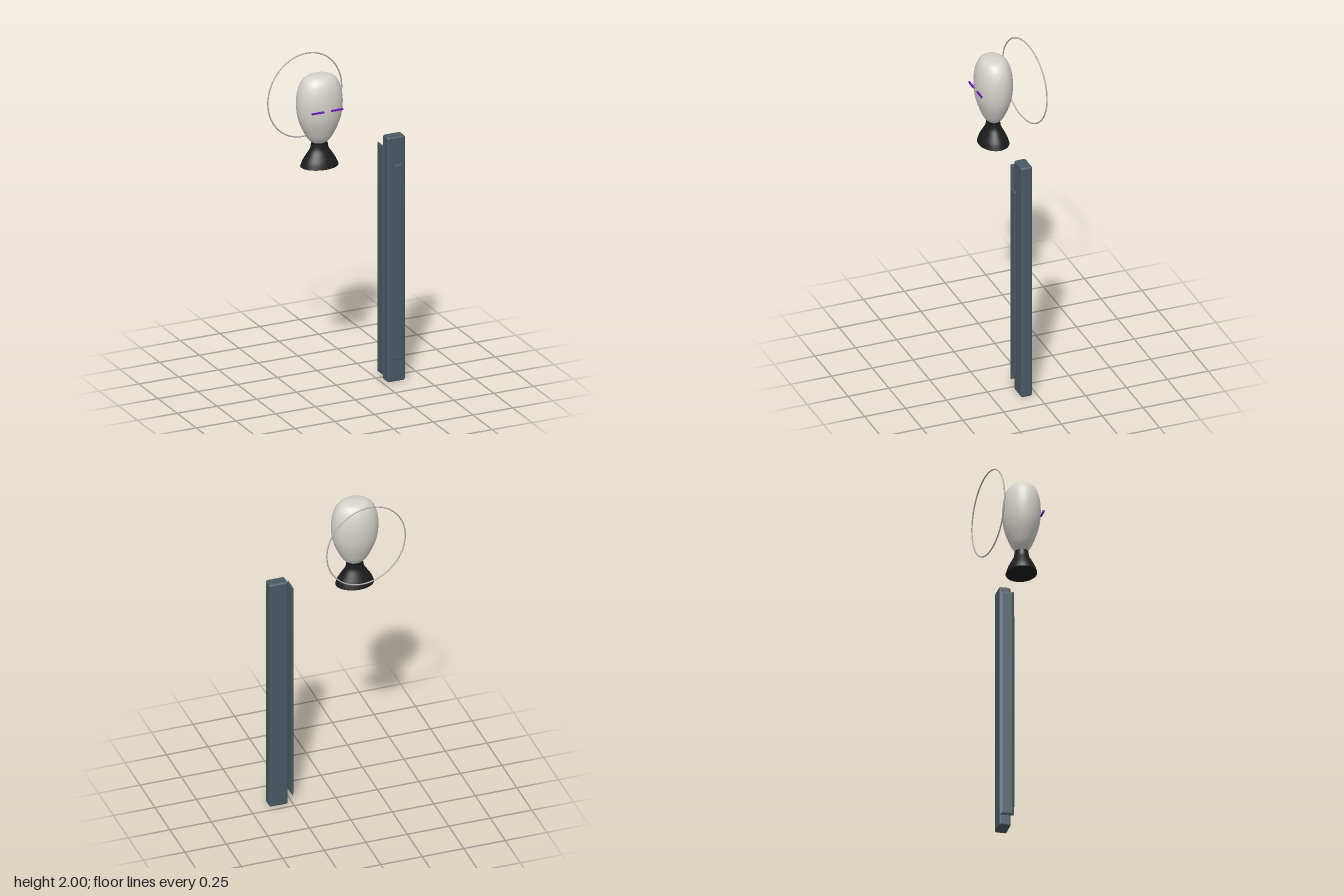
import * as THREE from 'three';
import { RoundedBoxGeometry } from 'three/addons/geometries/RoundedBoxGeometry.js';

const material = (name, color, side = THREE.FrontSide) =>
  Object.assign(new THREE.MeshStandardMaterial({ color, side }), { name });

// Smooth lathe through [radius, height] points, listed from bottom to top
function turned(points, samples) {
  const curve = new THREE.SplineCurve(points.map(([r, y]) => new THREE.Vector2(r, y)));
  const profile = curve.getPoints(samples);
  profile.forEach((p) => { p.x = Math.max(p.x, 0); });
  return new THREE.LatheGeometry(profile, 48);
}

export function createModel() {
  const model = new THREE.Group();
  const pale = material('pale porcelain', 0xd6d2cc);
  const black = material('black cloth', 0x1c1c1c, THREE.DoubleSide);
  const purple = material('purple eyes', 0x6a18c0);
  const silver = material('silver ring', 0xb4b0ac);
  const slate = material('slate', 0x4a5964);

  function add(name, geometry, mat, x, y, z) {
    const mesh = new THREE.Mesh(geometry, mat);
    mesh.name = name;
    mesh.position.set(x, y, z);
    model.add(mesh);
    return mesh;
  }

  const headX = -0.134, headZ = 0.058, depth = 0.78;

  // Egg-shaped head, flattened front to back
  const head = add('head', turned([
    [0, 1.52], [0.042, 1.53], [0.073, 1.56], [0.098, 1.605], [0.118, 1.65], [0.132, 1.70],
    [0.138, 1.76], [0.136, 1.81], [0.126, 1.86], [0.104, 1.905], [0.068, 1.932], [0, 1.94],
  ], 60), pale, headX, 0, headZ);
  head.scale.z = depth;

  // Flared neck with a closed underside
  const neck = add('neck', turned([
    [0.113, 1.387], [0.1, 1.42], [0.078, 1.455], [0.056, 1.49], [0.049, 1.522],
  ], 24), black, headX, 0, headZ);
  neck.scale.z = depth;
  const base = add('neckBase', new THREE.CircleGeometry(0.113, 48), black, headX, 1.387, headZ);
  base.rotation.x = Math.PI / 2;
  base.scale.y = depth;

  // Slit eyes
  for (const side of [-1, 1]) {
    add(side < 0 ? 'rightEye' : 'leftEye', new THREE.BoxGeometry(0.075, 0.009, 0.009),
      purple, headX + side * 0.06, 1.749, 0.166);
  }

  // Thin ring behind the head, turned a little
  const ring = add('halo', new THREE.TorusGeometry(0.251, 0.004, 10, 96), silver, -0.133, 1.745, -0.135);
  ring.rotation.y = THREE.MathUtils.degToRad(8);

  // Tall post with a floating front strip
  add('post', new RoundedBoxGeometry(0.112, 1.492, 0.07, 3, 0.012), slate, 0.333, 0.746, 0.063);
  add('frontStrip', new RoundedBoxGeometry(0.046, 1.19, 0.016, 3, 0.007), slate, 0.335, 0.737, 0.121);

  // Bevelled blade beside the post
  const w = 0.028, h = 0.686;
  const outline = new THREE.Shape([[-w, -h], [w, -h], [w, h], [-w, h]].map(([a, b]) => new THREE.Vector2(a, b)));
  const bladeGeometry = new THREE.ExtrudeGeometry(outline, {
    depth: 0.004, bevelEnabled: true, bevelThickness: 0.0055, bevelSize: 0.012, bevelSegments: 1,
  });
  bladeGeometry.center().rotateY(Math.PI / 2);
  add('sideBlade', bladeGeometry, slate, 0.25, 0.752, 0.067);

  return model;
}
